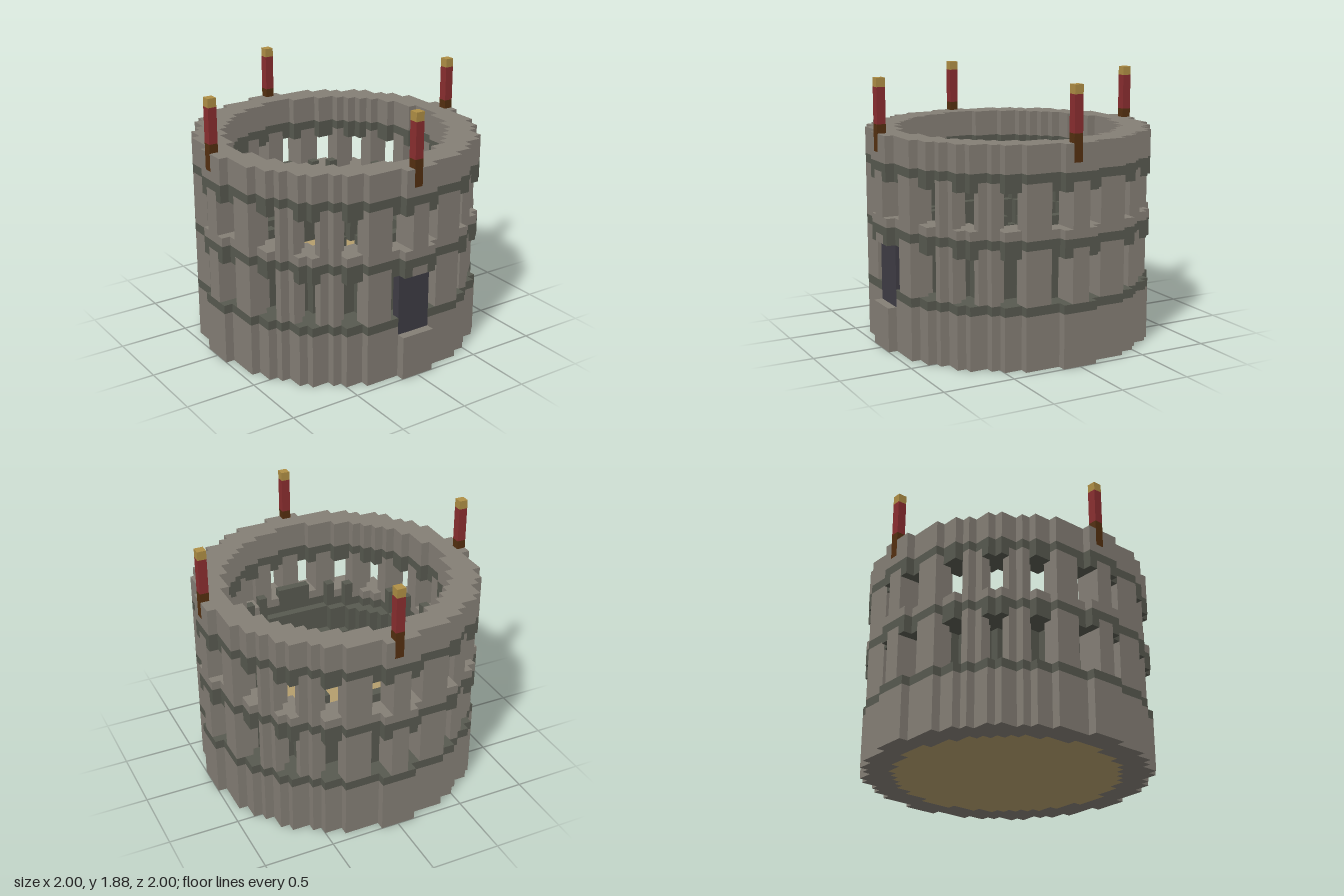
import * as THREE from 'three';

const V = 1 / 16; // edge of one block

const mat = (name, color) => {
  const m = new THREE.MeshStandardMaterial({ color });
  m.name = name;
  return m;
};

// Horizontal rules, all in block units. Block centres lie on the half units.
const R_OUT = 244, R_IN = 160;                        // squared wall radii
const TIERS = [[151, 16], [127, 13], [106, 10]];      // squared radius, seat top row
const FLOOR_TOP = 6;
const BAY = 18, HALF_OPENING = 4.5;                   // twenty arcade bays, in degrees

const inOpening = (x, z) => {
  const a = (THREE.MathUtils.radToDeg(Math.atan2(Math.abs(x), Math.abs(z)))) % BAY;
  return Math.abs(a - BAY / 2) < HALF_OPENING;
};

// Which part fills the block at centre x, z in row y (null when empty)
function partAt(x, y, z) {
  if (y < 0 || y > 23) return null;
  const r2 = x * x + z * z;
  if (r2 > R_OUT) return null;

  // arena floor and stepped seating
  if (r2 < R_IN) {
    if (y < FLOOR_TOP) return 'arenaFloor';
    const tier = TIERS.find(([limit]) => r2 > limit);
    return tier && y < tier[1] ? 'seating' : null;
  }

  // recessed front door
  if (Math.abs(x) < 2 && y >= 5 && y <= 11 && z > 14) return z > 15 ? null : 'door';

  // dark string courses and the lintels over the openings
  if (y === 6 || y === 13 || y === 20) return 'stringCourses';
  const open = inOpening(x, z);
  if (y === 12 || y === 19) return open ? 'stringCourses' : 'wall';

  // two storeys of arcade openings
  if (open && ((y >= 7 && y <= 11) || (y >= 15 && y <= 18))) return null;
  return 'wall';
}

// Outward face directions, each with two edge axes so that u x v = n
const FACES = [
  [[1, 0, 0], [0, 1, 0], [0, 0, 1]], [[-1, 0, 0], [0, 0, 1], [0, 1, 0]],
  [[0, 1, 0], [0, 0, 1], [1, 0, 0]], [[0, -1, 0], [1, 0, 0], [0, 0, 1]],
  [[0, 0, 1], [1, 0, 0], [0, 1, 0]], [[0, 0, -1], [0, 1, 0], [1, 0, 0]],
];

// Collect only the exposed block faces of every part
function blockGeometries() {
  const data = {};
  for (let y = 0; y < 24; y++)
    for (let x = -15.5; x < 16; x++)
      for (let z = -15.5; z < 16; z++) {
        const part = partAt(x, y, z);
        if (!part) continue;
        const d = (data[part] ??= { pos: [], nor: [], idx: [] });
        for (const [n, u, v] of FACES) {
          if (partAt(x + n[0], y + n[1], z + n[2])) continue;
          const first = d.pos.length / 3;
          const c = [x, y + 0.5, z];
          for (const [s, t] of [[-1, -1], [1, -1], [1, 1], [-1, 1]]) {
            for (let k = 0; k < 3; k++) d.pos.push((c[k] + (n[k] + s * u[k] + t * v[k]) / 2) * V);
            d.nor.push(...n);
          }
          d.idx.push(first, first + 1, first + 2, first, first + 2, first + 3);
        }
      }
  return Object.entries(data).map(([name, d]) => {
    const g = new THREE.BufferGeometry();
    g.setAttribute('position', new THREE.Float32BufferAttribute(d.pos, 3));
    g.setAttribute('normal', new THREE.Float32BufferAttribute(d.nor, 3));
    g.setIndex(d.idx);
    return [name, g];
  });
}

export function createModel() {
  const model = new THREE.Group();
  model.name = 'arena';

  const mats = {
    wall: mat('stone', 0x857f76),
    stringCourses: mat('darkStone', 0x585a50),
    arenaFloor: mat('sand', 0xb59e6d),
    door: mat('doorSlate', 0x3f3d45),
    pole: mat('brownWood', 0x553010),
    banner: mat('redCloth', 0x8b2e30),
    finial: mat('gold', 0xb08f45),
  };
  mats.seating = mats.stringCourses;

  for (const [name, geometry] of blockGeometries()) {
    const mesh = new THREE.Mesh(geometry, mats[name]);
    mesh.name = name;
    model.add(mesh);
  }

  // Four banner poles, one at each quarter, slightly proud of the wall face
  const sections = [['pole', 22, 25], ['banner', 25, 29], ['finial', 29, 30]];
  for (let i = 0; i < 4; i++) {
    const bannerPole = new THREE.Group();
    bannerPole.name = 'bannerPole' + (i + 1);
    for (const [name, y0, y1] of sections) {
      const w = V * 1.01;
      const mesh = new THREE.Mesh(new THREE.BoxGeometry(w, (y1 - y0) * V, w), mats[name]);
      mesh.position.set(-0.5 * V, ((y0 + y1) / 2) * V, 15.5 * V);
      mesh.name = name;
      bannerPole.add(mesh);
    }
    bannerPole.rotation.y = (i * Math.PI) / 2;
    model.add(bannerPole);
  }
  return model;
}
